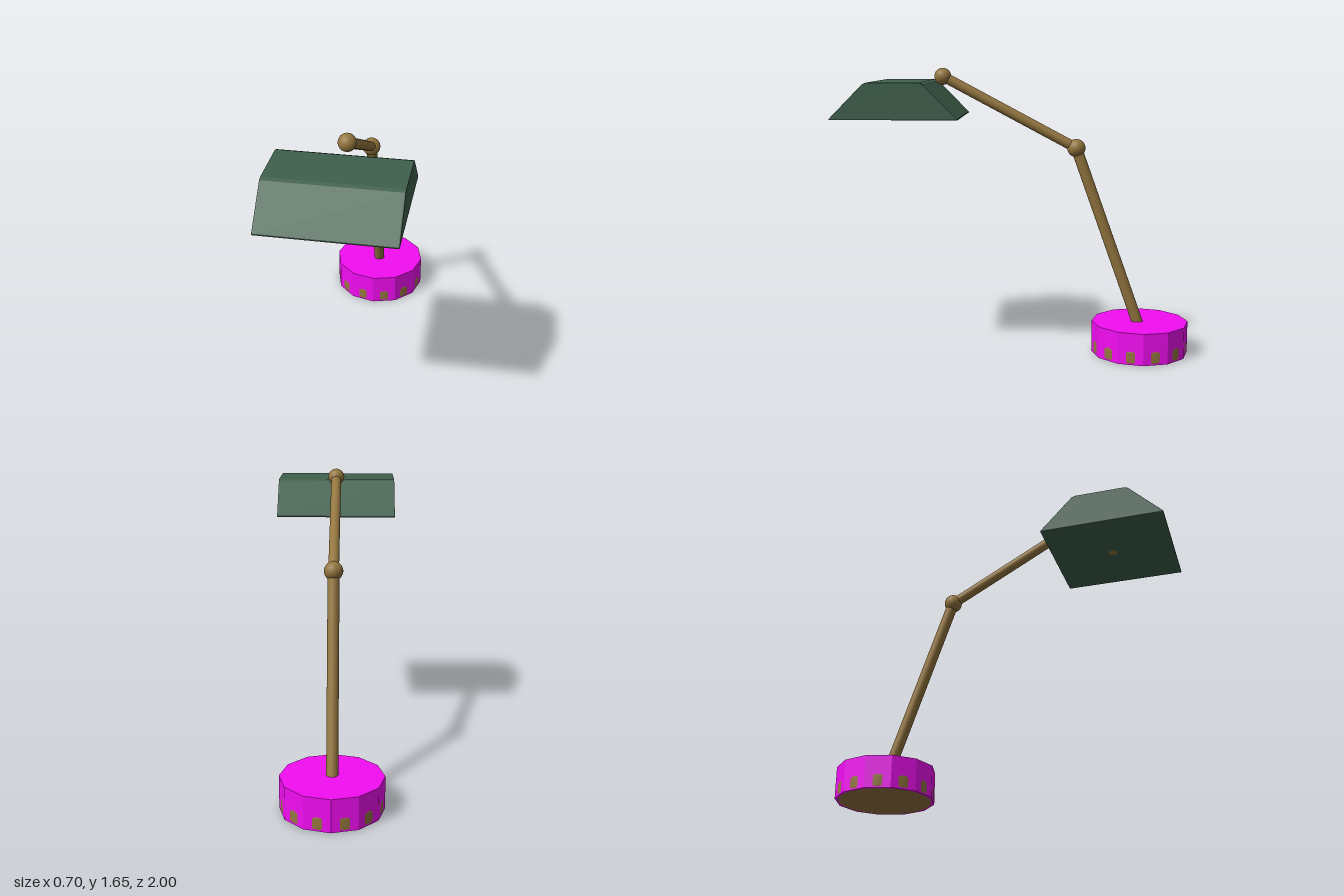
import * as THREE from 'three';

const brass = new THREE.MeshStandardMaterial({ color: 0x94763f });
const green = new THREE.MeshStandardMaterial({ color: 0x40604d });
const magenta = new THREE.MeshStandardMaterial({ color: 0xf20df2, flatShading: true });

export function createModel() {
  const lamp = new THREE.Group();
  lamp.name = 'deskLamp';

  const add = (name, geometry, material, x, y, z) => {
    const mesh = new THREE.Mesh(geometry, material);
    mesh.name = name;
    mesh.position.set(x, y, z);
    lamp.add(mesh);
    return mesh;
  };

  // Round rod running between two points
  const rod = (name, a, b, radius) => {
    const dir = b.clone().sub(a);
    const mid = a.clone().lerp(b, 0.5);
    const mesh = add(name, new THREE.CylinderGeometry(radius, radius, dir.length(), 24), brass, mid.x, mid.y, mid.z);
    mesh.quaternion.setFromUnitVectors(new THREE.Vector3(0, 1, 0), dir.normalize());
  };

  const foot = new THREE.Vector3(0, 0.1, -0.735);
  const elbow = new THREE.Vector3(0, 1.2, -0.34);
  const head = new THREE.Vector3(0, 1.605, 0.42);

  // Twelve-sided base
  add('base', new THREE.CylinderGeometry(0.28, 0.28, 0.184, 12), magenta, 0, 0.093, -0.72);

  // Rounded brass disc that shows through the middle of each base face
  const profile = [
    [0, 0], [0.257, 0], [0.265, 0.003], [0.2705, 0.009], [0.272, 0.015],
    [0.272, 0.07], [0.2705, 0.079], [0.265, 0.085], [0.257, 0.088], [0, 0.088],
  ].map(([r, y]) => new THREE.Vector2(r, y));
  add('baseDisc', new THREE.LatheGeometry(profile, 64), brass, 0, 0, -0.72);

  // Arms and ball joints
  rod('lowerArm', foot, elbow, 0.032);
  rod('upperArm', elbow, head, 0.029);
  add('elbowJoint', new THREE.SphereGeometry(0.052, 24, 16), brass, ...elbow);
  add('headJoint', new THREE.SphereGeometry(0.048, 24, 16), brass, ...head);

  // Trapezoid shade, extruded across x with a fine bevel at both ends
  const section = new THREE.Shape([
    [0.305, 1.38], [1, 1.38], [1, 1.386], [0.815, 1.572], [0.795, 1.58],
    [0.51, 1.58], [0.49, 1.572], [0.305, 1.386],
  ].map(([z, y]) => new THREE.Vector2(z, y)));
  const shade = new THREE.ExtrudeGeometry(section, {
    depth: 0.688, bevelThickness: 0.006, bevelSize: 0.002, bevelOffset: -0.002, bevelSegments: 2,
  });
  shade.translate(0, 0, -0.344);
  shade.rotateY(-Math.PI / 2);
  add('shade', shade, green, 0, 0, 0);

  // Bulb just breaking the underside of the shade
  add('bulb', new THREE.SphereGeometry(0.07, 24, 16), brass, 0, 1.445, 0.65);

  return lamp;
}
